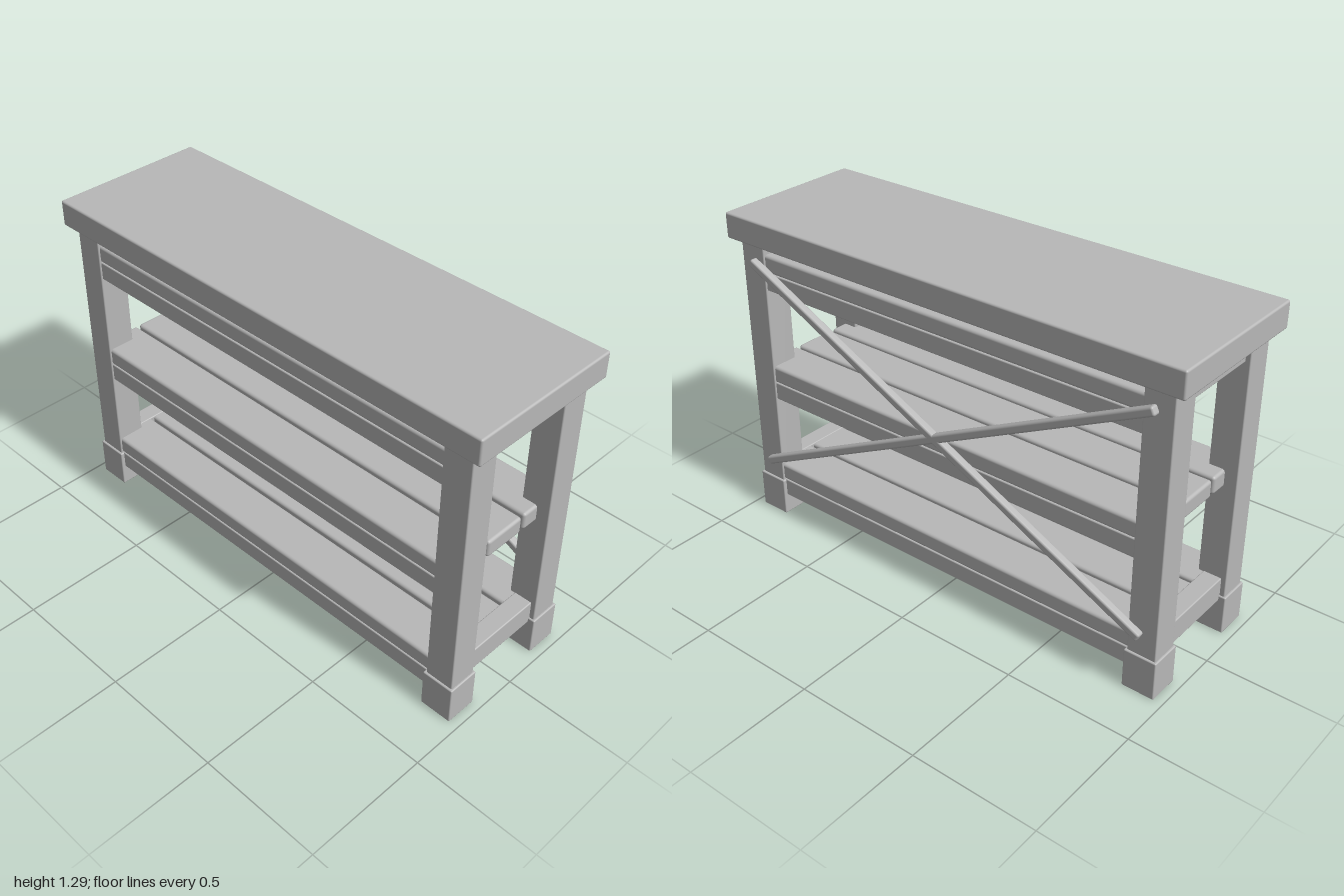
import * as THREE from 'three';
import { RoundedBoxGeometry } from 'three/addons/geometries/RoundedBoxGeometry.js';

export function createModel() {
  const model = new THREE.Group();
  model.name = 'consoleTable';
  const grey = new THREE.MeshStandardMaterial({ color: 0xb8b8b8 });
  grey.name = 'plain grey';

  // Bevelled block given by its min and max on each axis
  function block(name, [x0, x1], [y0, y1], [z0, z1], bevel = 0.005, parent = model) {
    const mesh = new THREE.Mesh(new RoundedBoxGeometry(x1 - x0, y1 - y0, z1 - z0, 2, bevel), grey);
    mesh.position.set((x0 + x1) / 2, (y0 + y1) / 2, (z0 + z1) / 2);
    mesh.name = name;
    parent.add(mesh);
    return mesh;
  }
  const around = (centre, size) => [centre - size / 2, centre + size / 2];

  block('tableTop', [-1, 1], [1.187, 1.29], [-0.316, 0.316], 0.008);

  // Legs with square feet
  for (const sx of [-1, 1]) {
    for (const sz of [-1, 1]) {
      block('leg', around(sx * 0.898, 0.115), [0.01, 1.19], around(sz * 0.228, 0.115));
      block('foot', around(sx * 0.898, 0.13), [0, 0.157], around(sz * 0.229, 0.13));
    }
    // End rails under the top and beside the bottom shelf
    block('upperEndRail', around(sx * 0.898, 0.075), [1.1, 1.19], [-0.2, 0.2]);
    block('lowerEndRail', around(sx * 0.898, 0.075), [0.135, 0.231], [-0.2, 0.2]);
  }

  // Three shelves: three slats over a front and a back rail
  for (const [name, y] of [['bottomShelf', 0.158], ['middleShelf', 0.606], ['upperShelf', 1.075]]) {
    const shelf = new THREE.Group();
    shelf.name = name;
    model.add(shelf);
    for (const z of [-0.19, 0, 0.19]) {
      block('slat', [-0.905, 0.905], [y, y + 0.071], around(z, 0.177), 0.012, shelf);
    }
    for (const sz of [-1, 1]) {
      block('shelfRail', [-0.9, 0.9], [y - 0.073, y + 0.001], around(sz * 0.244, 0.07), 0.005, shelf);
    }
  }

  // Crossed braces on the back of the legs
  const angle = Math.atan2(0.435, 0.89);
  for (const s of [-1, 1]) {
    const brace = block('crossBrace', [-0.995, 0.995], around(0.678, 0.034), around(-0.296, 0.034), 0.009);
    brace.rotation.z = s * angle;
  }
  return model;
}
